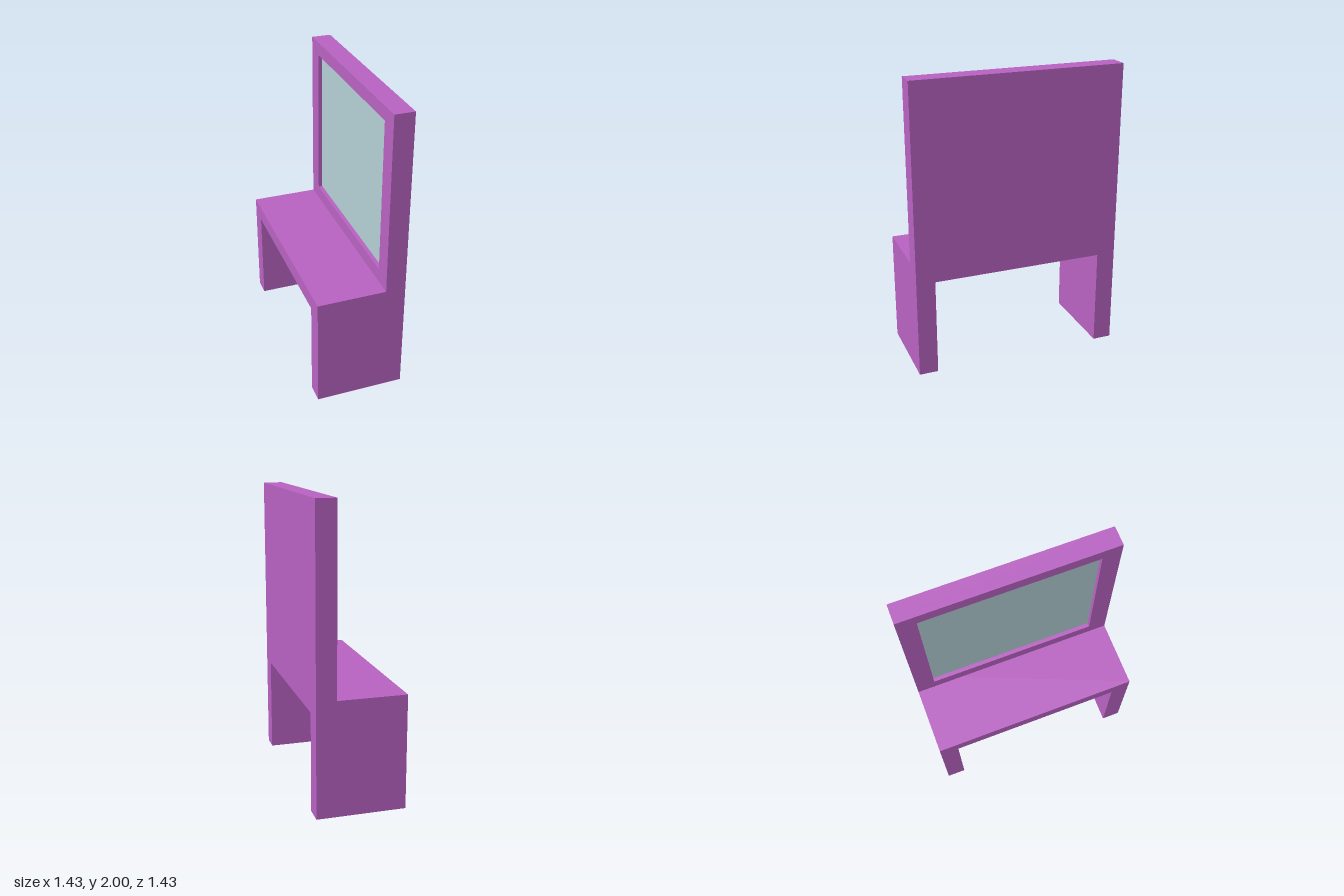
import * as THREE from 'three';

export function createModel() {
  const purple = new THREE.MeshStandardMaterial({ color: 0xb862c2 });
  purple.name = 'purple';
  const glass = new THREE.MeshStandardMaterial({ color: 0xb4ced4 });
  glass.name = 'mirror glass';

  const W = 1.432, D = 0.597, H = 2; // overall size before turning
  const topY = 0.772, underY = 0.667; // table top and its underside
  const T = 0.128; // leg thickness and mirror frame width
  const panelT = 0.134, recess = 0.028, plate = 0.006;

  const model = new THREE.Group();
  model.name = 'vanityTable';
  const body = new THREE.Group();
  body.name = 'turnedBody';
  body.rotation.y = -Math.PI / 4;
  model.add(body);

  const add = (name, geometry, material, x, y, z) => {
    const mesh = new THREE.Mesh(geometry, material);
    mesh.name = name;
    mesh.position.set(x, y, z);
    body.add(mesh);
  };
  const points = (list) => list.map(([x, y]) => new THREE.Vector2(x, y));
  const extrude = (shape, depth) => new THREE.ExtrudeGeometry(shape, { depth, bevelEnabled: false });

  // Table: top and two slab legs in one arch profile
  const h = W / 2, i = h - T;
  const arch = new THREE.Shape(points([
    [-h, 0], [-i, 0], [-i, underY], [i, underY], [i, 0], [h, 0], [h, topY], [-h, topY],
  ]));
  add('tableAndLegs', extrude(arch, D), purple, 0, 0, -D / 2);

  // Mirror frame: raised border around a shallow recess
  const y0 = 0.865, y1 = 1.91;
  const frame = new THREE.Shape(points([[-h, topY], [h, topY], [h, H], [-h, H]]));
  frame.holes.push(new THREE.Path(points([[-i, y0], [-i, y1], [i, y1], [i, y0]])));
  const front = -D / 2 + panelT, backing = panelT - recess - plate;
  add('mirrorFrame', extrude(frame, recess + plate), purple, 0, 0, front - recess - plate);

  // Solid panel behind the mirror
  add('backPanel', new THREE.BoxGeometry(W, H - topY, backing), purple,
    0, (H + topY) / 2, -D / 2 + backing / 2);

  // Mirror glass lying in the recess
  add('mirror', new THREE.BoxGeometry(i * 2, y1 - y0, plate), glass,
    0, (y0 + y1) / 2, front - recess - plate / 2);

  return model;
}
